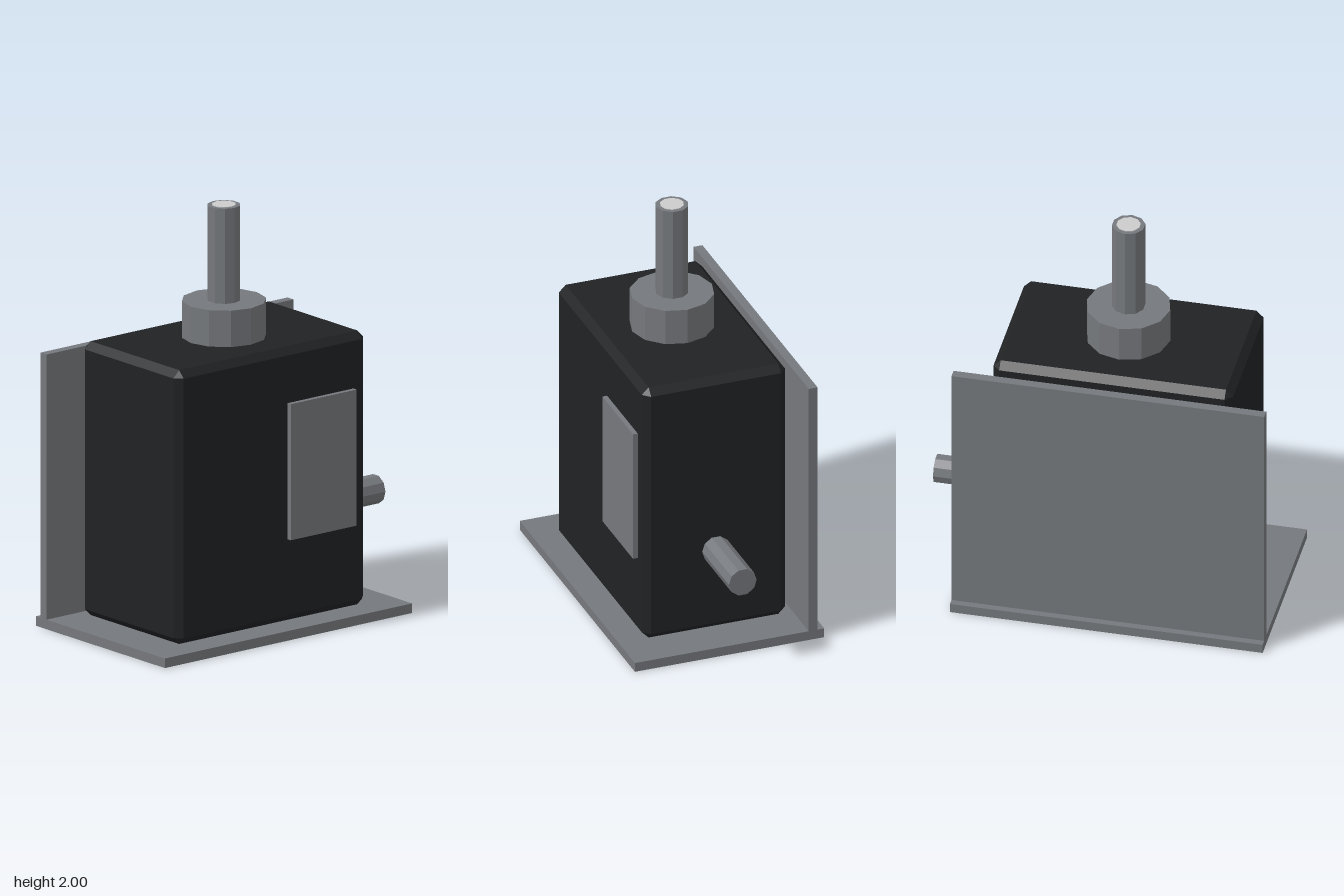
import * as THREE from 'three';
import { ConvexGeometry } from 'three/addons/geometries/ConvexGeometry.js';

const material = (color) => new THREE.MeshStandardMaterial({ color, flatShading: true });

// Box with every edge cut by one flat chamfer
function chamferedBox(w, h, d, c) {
  const points = [];
  for (const sx of [-1, 1]) for (const sy of [-1, 1]) for (const sz of [-1, 1]) {
    for (let axis = 0; axis < 3; axis++) {
      const half = [w / 2, h / 2, d / 2].map((v, i) => (i === axis ? v : v - c));
      points.push(new THREE.Vector3(sx * half[0], sy * half[1], sz * half[2]));
    }
  }
  return new ConvexGeometry(points);
}

export function createModel() {
  const model = new THREE.Group();
  const steel = material(0x75787c);
  const black = material(0x202224);
  const bright = material(0xcccccc);

  const add = (name, geometry, mat, x, y, z) => {
    const mesh = new THREE.Mesh(geometry, mat);
    mesh.name = name;
    mesh.position.set(x, y, z);
    model.add(mesh);
    return mesh;
  };
  // Box given by its limits on each axis
  const slab = (name, mat, [x0, x1], [y0, y1], [z0, z1]) =>
    add(name, new THREE.BoxGeometry(x1 - x0, y1 - y0, z1 - z0), mat,
      (x0 + x1) / 2, (y0 + y1) / 2, (z0 + z1) / 2);
  // Upright cylinder between two heights
  const post = (name, mat, r, y0, y1, sides) =>
    add(name, new THREE.CylinderGeometry(r, r, y1 - y0, sides), mat, -0.088, (y0 + y1) / 2, 0);

  // Mounting bracket
  slab('basePlate', steel, [-0.83, 0.655], [0, 0.046], [-0.47, 0.47]);
  slab('backPlate', steel, [-0.83, 0.655], [0.046, 1.322], [-0.437, -0.393]);

  // Housing and front panel
  add('housing', chamferedBox(1.138, 1.318, 0.712, 0.034), black, -0.088, 0.706, 0);
  slab('frontPanel', steel, [0, 0.396], [0.447, 1.102], [0.34, 0.38]);

  // Collar, stem and its bright tip
  post('collar', steel, 0.198, 1.35, 1.54, 12);
  post('stem', steel, 0.078, 1.53, 1.997, 10);
  post('stemTip', bright, 0.057, 1.98, 2.0, 10);

  // Side shaft
  const shaft = add('sideShaft', new THREE.CylinderGeometry(0.069, 0.069, 0.385, 10), steel, 0.633, 0.466, 0);
  shaft.rotation.z = -Math.PI / 2;

  return model;
}
